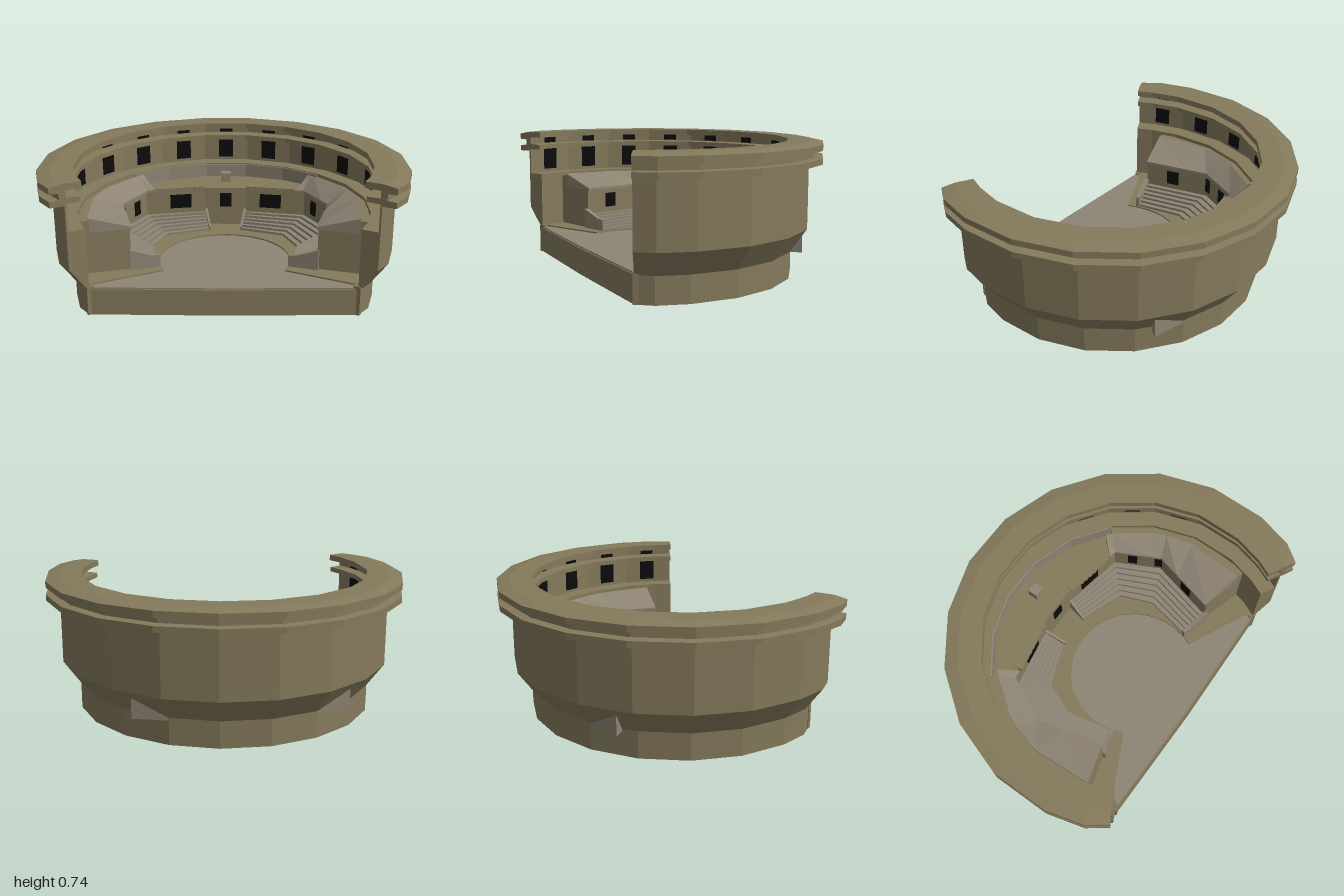
import * as THREE from 'three';

const olive = new THREE.MeshStandardMaterial({ color: 0x857a5c, flatShading: true });
const grey = new THREE.MeshStandardMaterial({ color: 0x8d8473, flatShading: true });
const black = new THREE.MeshStandardMaterial({ color: 0x0c0c0c, flatShading: true });

const rad = THREE.MathUtils.degToRad;
// Angles are measured in degrees from the back of the bowl, positive towards its left
const at = (deg, r, y) => new THREE.Vector3(r * Math.sin(rad(deg)), y, -r * Math.cos(rad(deg)));

const half = [9, 27, 45, 63, 81, 99, 111, 118];
const ringAngles = [...half.map((a) => -a).reverse(), ...half];

// Joins [r, y] cross-sections standing at successive angles, and caps both ends
function loft(angles, sectionAt) {
  const loops = angles.map((a) => {
    const pts = sectionAt(a).map((p) => new THREE.Vector2(p[0], p[1]));
    if (THREE.ShapeUtils.isClockWise(pts)) pts.reverse();
    return pts;
  });
  const rows = loops.map((loop, i) => loop.map((p) => at(angles[i], p.x, p.y)));
  const out = [];
  const tri = (...v) => v.forEach((p) => out.push(p.x, p.y, p.z));
  const n = rows[0].length;
  for (let s = 0; s < rows.length - 1; s++) {
    for (let i = 0; i < n; i++) {
      const j = (i + 1) % n, a = rows[s], b = rows[s + 1];
      tri(a[i], a[j], b[j]);
      tri(a[i], b[j], b[i]);
    }
  }
  const last = rows.length - 1;
  for (const [i, j, k] of THREE.ShapeUtils.triangulateShape(loops[0], [])) tri(rows[0][i], rows[0][k], rows[0][j]);
  for (const [i, j, k] of THREE.ShapeUtils.triangulateShape(loops[last], [])) tri(rows[last][i], rows[last][j], rows[last][k]);
  const g = new THREE.BufferGeometry();
  g.setAttribute('position', new THREE.Float32BufferAttribute(out, 3));
  g.computeVertexNormals();
  return g;
}

// Upright prism over a plan outline of [x, z] points
function prism(points, y, height) {
  const g = new THREE.ExtrudeGeometry(
    new THREE.Shape(points.map(([x, z]) => new THREE.Vector2(x, -z))), { depth: height, bevelEnabled: false });
  return g.rotateX(-Math.PI / 2).translate(0, y, 0);
}

// Radii by angle, for one half: seat fronts, the wall behind them, the gallery wall
const seatFront = [[13, 0.45], [45, 0.49], [69, 0.45], [106, 0.38]];
const seatBack = [[0, 0.546], [13, 0.56], [45, 0.68], [69, 0.65], [106, 0.53]];
const galleryWall = [[0, 0.89 * Math.cos(rad(9))], ...half.map((a) => [a, 0.89])];

// Point on the straight wall piece at an angle, and the yaw of that piece
function onWall(line, deg) {
  let i = 0;
  while (i < line.length - 2 && line[i + 1][0] < deg) i++;
  const a = at(...line[i], 0), d = at(...line[i + 1], 0).sub(a);
  const dx = Math.sin(rad(deg)), dz = -Math.cos(rad(deg));
  const t = (a.z * dx - a.x * dz) / (d.x * dz - d.z * dx);
  return { pos: a.addScaledVector(d, t), yaw: Math.atan2(-d.z, d.x) };
}

function radiusOn(line, deg) {
  const p = onWall(line, Math.abs(deg)).pos;
  return Math.hypot(p.x, p.z);
}

export function createModel() {
  const model = new THREE.Group();
  model.name = 'amphitheatre';
  const bowl = new THREE.Group();
  bowl.name = 'bowl';
  bowl.rotation.y = rad(27);
  bowl.position.z = 0.1;
  model.add(bowl);

  const add = (name, geometry, material) => {
    const m = new THREE.Mesh(geometry, material);
    m.name = name;
    bowl.add(m);
    return m;
  };
  // Box set into a wall; negative angles mirror the positive side
  const wallBox = (name, line, deg, w, h, d, y, material) => {
    const { pos, yaw } = onWall(line, Math.abs(deg));
    const flip = deg < 0 ? -1 : 1;
    const m = add(name, new THREE.BoxGeometry(w, h, d), material);
    m.position.set(pos.x * flip, y, pos.z);
    m.rotation.y = yaw * flip;
  };

  // Base with its nearly straight front, and the arena floor
  const endInset = (a) => (Math.abs(a) === 118 ? 0.025 : 0);
  const plan = (r, z) => [...ringAngles.map((a) => { const p = at(a, r - endInset(a), 0); return [p.x, p.z]; }), [0, z]];
  add('base', prism(plan(0.832, 0.39), 0.005, 0.147), olive);
  add('arenaFloor', prism(plan(0.82, 0.382), 0.15, 0.01), grey);
  const walkAngles = Array.from({ length: 25 }, (_, i) => -116 + i * 232 / 24);
  add('walkway', loft(walkAngles, () => [[0.37, 0.15], [0.37, 0.168], [0.81, 0.168], [0.81, 0.15]]), olive);

  // Outer wall, gallery and cornices in one cross-section
  const wall = [
    [0.832, 0.15], [0.925, 0.28], [0.925, 0.63], [1, 0.63], [1, 0.662], [0.95, 0.665], [0.95, 0.7],
    [1, 0.702], [1, 0.735], [0.93, 0.748], [0.805, 0.748], [0.805, 0.715], [0.89, 0.712], [0.89, 0.672],
    [0.815, 0.67], [0.815, 0.643], [0.89, 0.64], [0.89, 0.49], [0.8, 0.49], [0.8, 0.15],
  ];
  add('outerWall', loft(ringAngles, (a) => wall.map(([r, y]) => [r > 0.9 || r === 0.832 ? r - endInset(a) : r, y])), olive);

  // Gallery windows, one tall and one low in each wall bay
  for (let k = -6; k <= 6; k++) {
    wallBox('galleryWindow', galleryWall, k * 18, 0.09, 0.13, 0.012, 0.574, black);
    wallBox('cornicePort', galleryWall, k * 18, 0.08, 0.035, 0.012, 0.693, black);
  }

  // Middle block behind the seats, with a flat top and a pedestal
  add('middleBlock', loft([-45, -13, 13, 45], (a) => {
    const r = radiusOn(seatBack, a);
    return [[r, 0.16], [r, 0.405], [0.82, 0.405], [0.82, 0.16]];
  }), olive);
  add('galleryBackWall', loft([-45, -27, -9, 9, 27, 45],
    () => [[0.79, 0.4], [0.79, 0.485], [0.81, 0.485], [0.81, 0.4]]), grey);
  const pedestal = add('pedestal', new THREE.BoxGeometry(0.06, 0.06, 0.06), grey);
  pedestal.position.copy(at(0, 0.69, 0.43));
  wallBox('wallWindow', seatBack, 0, 0.07, 0.085, 0.012, 0.328, black);

  for (const side of [1, -1]) {
    const span = (list) => (side > 0 ? list : list.map((a) => -a).reverse());
    const back = (a) => radiusOn(seatBack, a);
    const front = (a) => radiusOn(seatFront, a);

    // Stepped seats
    const steps = 6;
    add('seats', loft(span([13, 45, 69, 106]), (a) => {
      const f = front(a), b = back(a), pts = [[f, 0.16]];
      for (let i = 0; i < steps; i++) {
        const y = 0.182 + i * 0.014;
        pts.push([f + (b - f) * i / steps, y], [f + (b - f) * (i + 1) / steps, y]);
      }
      pts.push([b + 0.01, 0.252], [b + 0.01, 0.16]);
      return pts;
    }), grey);

    // Low walls closing both ends of the seats
    add('aisleWall', loft(span([11.5, 13]),
      () => [[0.44, 0.16], [0.44, 0.195], [0.565, 0.275], [0.565, 0.16]]), grey);
    add('endWall', loft(span([105, 108]),
      () => [[0.37, 0.16], [0.37, 0.235], [0.42, 0.24], [0.54, 0.285], [0.54, 0.16]]), grey);

    // Side block and its sloping roof
    add('sideBlock', loft(span([45, 63, 69, 81, 106]), (a) => {
      const b = back(a);
      return [[b, 0.16], [b, 0.402], [0.745, 0.402], [0.745, 0.47], [0.81, 0.47], [0.81, 0.16]];
    }), olive);
    add('slopingRoof', loft(span([42, 45, 63, 69, 81, 106]), (a) => {
      const b = back(a) - 0.012;
      return [[b, 0.398], [b, 0.412], [0.755, 0.484], [0.755, 0.398]];
    }), grey);

    // Windows in the wall behind the seats
    for (const [a, w] of [[28, 0.13], [54, 0.055], [68, 0.055], [88, 0.075]]) {
      wallBox('wallWindow', seatBack, side * a, w, 0.085, 0.012, 0.328, black);
    }

    // Row of small blocks under a strip along the wall top
    for (let i = 0; i < 9; i++) {
      wallBox('dentil', seatBack, side * (16 + i * 3), 0.018, 0.02, 0.04, 0.403, olive);
    }
    wallBox('dentilStrip', seatBack, side * 28, 0.3, 0.008, 0.045, 0.417, olive);

    // Pier at the front end of the base, and the wedge buttress at the back
    add('endPier', loft(span([116.5, 118.5]),
      () => [[0.775, 0.005], [0.775, 0.17], [0.815, 0.17], [0.815, 0.005]]), olive);
    const wedge = [at(side * 19, 0.815, 0), at(side * 39, 0.89, 0), at(side * 39, 0.78, 0)].map((p) => [p.x, p.z]);
    add('buttress', prism(wedge, 0.135, 0.115), grey);
  }

  // Stand the lowest faces on the ground
  bowl.position.y = -0.005;
  return model;
}
